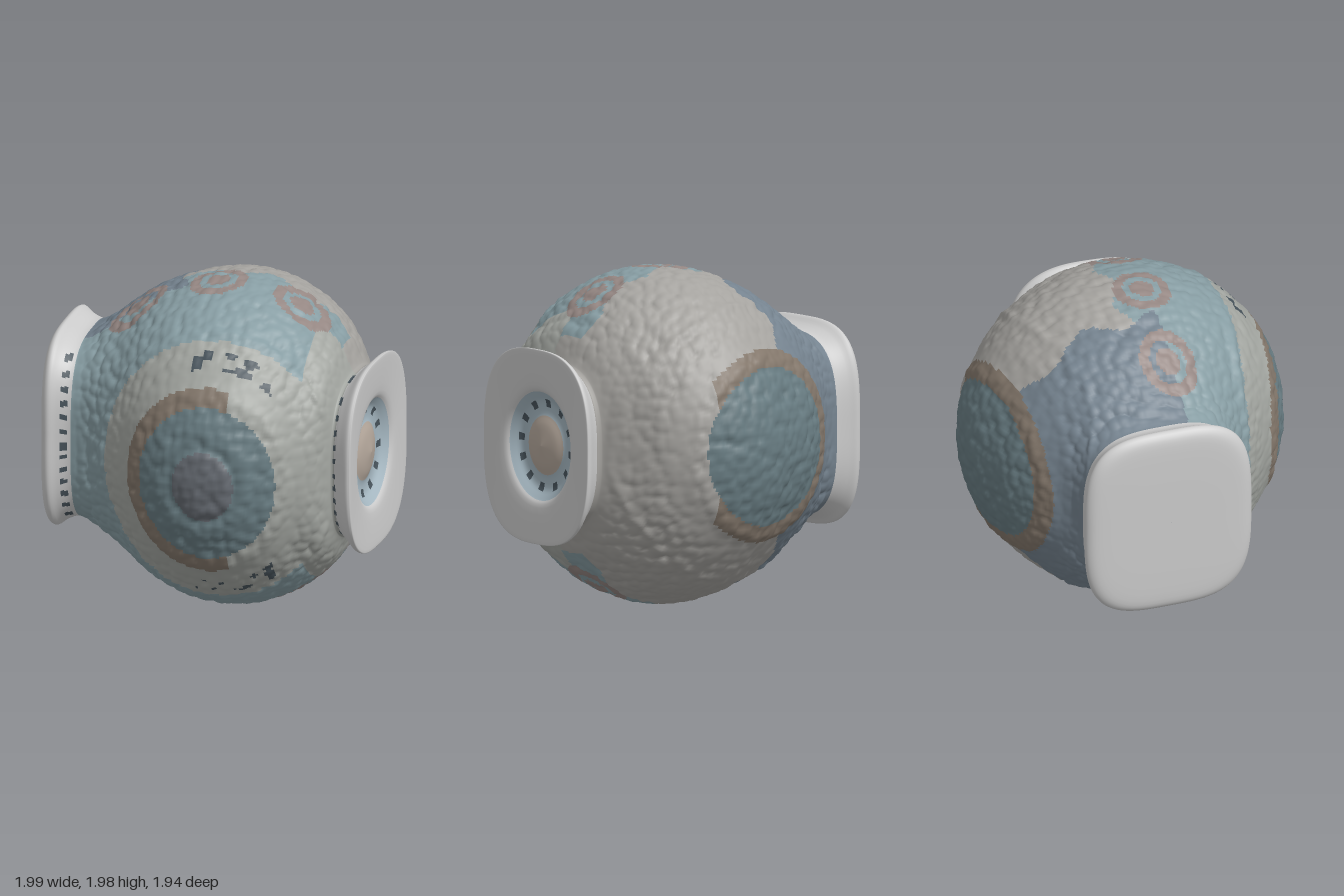
import * as THREE from 'three';

// Profile along the jar's axis: x, half height, half depth
const PROFILE = [
  [-0.99, 0.001, 0.001], [-0.99, 0.3, 0.25], [-0.985, 0.52, 0.43], [-0.965, 0.585, 0.49],
  [-0.93, 0.605, 0.51], [-0.88, 0.57, 0.49],
  [-0.8, 0.548, 0.475], // body starts here
  [-0.7, 0.6, 0.505], [-0.6, 0.68, 0.585], [-0.45, 0.8, 0.72], [-0.3, 0.885, 0.83], [-0.1, 0.955, 0.92],
  [0.1, 0.98, 0.96], [0.3, 0.955, 0.94], [0.5, 0.87, 0.845], [0.65, 0.755, 0.71], [0.75, 0.635, 0.565],
  [0.82, 0.49, 0.44], // body ends here
  [0.87, 0.5, 0.455], [0.93, 0.56, 0.495], [0.955, 0.57, 0.5], [0.965, 0.55, 0.48],
  [0.95, 0.36, 0.33], // mouth
  [0.92, 0.31, 0.285], [0.885, 0.26, 0.24], [0.88, 0.19, 0.18],
  [0.905, 0.12, 0.115], [0.925, 0.001, 0.001], // rosette inside
];
const BODY_START = 6, BODY_END = 17, MOUTH = 22, ROSETTE = 25;
const CY = 0.985, AROUND = 300;
const { smoothstep } = THREE.MathUtils;

// Both ends are offset in depth and squared off; the mouth end is also tilted
const depthOffset = (x) => 0.09 * smoothstep(x, 0.6, 0.85) - 0.07 * smoothstep(-x, 0.1, 0.6);
const squareness = (x, h) =>
  2 + 1.4 * smoothstep(-x, 0.45, 0.95) + 0.8 * smoothstep(x, 0.6, 0.9) * smoothstep(h, 0.3, 0.5);
const tilt = (x) => -0.07 * smoothstep(x, 0.7, 0.88);

const PARTS = {
  rimAndBase: 0xcccccc, bareBody: 0xa5a39f, blueGlaze: 0x879da3, slateGlaze: 0x75838f,
  medallion: 0x687c82, medallionRing: 0x83776b, creamBand: 0xa3a6a1, boss: 0x666b72,
  flowers: 0x958783, inkMarks: 0x48545c, mouthGlaze: 0xa6b8c2, mouthRosette: 0xb5a89c,
};

// Seeded hash for the pebble layout
const hash = (a, b, c, k) => {
  const s = Math.sin(a * 127.1 + b * 311.7 + c * 74.7 + k * 53.3) * 43758.5453;
  return s - Math.floor(s);
};

// Irregular pebbles: distance to the nearest jittered lattice point, plus its own random number
function pebble(x, y, z) {
  const S = 16, px = x * S, py = y * S, pz = z * S;
  const ix = Math.floor(px), iy = Math.floor(py), iz = Math.floor(pz);
  let best = 9, id = 0;
  for (let i = ix - 1; i <= ix + 1; i++)
    for (let j = iy - 1; j <= iy + 1; j++)
      for (let k = iz - 1; k <= iz + 1; k++) {
        const d = Math.hypot(i + 0.15 + 0.7 * hash(i, j, k, 1) - px,
          j + 0.15 + 0.7 * hash(i, j, k, 2) - py, k + 0.15 + 0.7 * hash(i, j, k, 3) - pz);
        if (d < best) { best = d; id = hash(i, j, k, 4); }
      }
  return { h: Math.sqrt(Math.max(0, 1 - best * best)), id };
}

// Front and back medallions differ in centre and width
const medallionRadius = (x, y, z) =>
  z > 0 ? Math.hypot((x - 0.13) / 0.88, y - CY) : Math.hypot((x + 0.02) / 1.05, y - CY);
const ridge = (r, at, width) => Math.exp(-(((r - at) / width) ** 2));

// Height of the moulded decoration on the body
function relief(x, y, z) {
  const r = medallionRadius(x, y, z);
  const plain = Math.max(ridge(r, 0.61, 0.07), 0.6 * smoothstep(x, 0.64, 0.72));
  let d = (pebble(x, y, z).h - 0.78) * 0.042 * (1 - 0.7 * plain);
  if (Math.abs(z) > 0.3) {
    d += 0.01 * ridge(r, 0.52, 0.04) + 0.01 * ridge(r, 0.8, 0.015);
    if (z > 0) d -= 0.014 * ridge(r, 0.23, 0.03);
  }
  return d;
}

// Which glaze covers a point
function regionOf(x, y, z, t) {
  if (t > ROSETTE) return 'mouthRosette';
  if (t > MOUTH + 0.5) {
    const dot = Math.sin(Math.atan2(y - CY, z - 0.1) * 12) > 0.5;
    return dot && t > MOUTH + 1.6 && t < MOUTH + 2.4 ? 'inkMarks' : 'mouthGlaze';
  }
  // Rows of dots round both necks
  const neckDots = (t > BODY_START - 0.9 && t < BODY_START - 0.3) || (t > BODY_END + 0.1 && t < BODY_END + 0.6);
  if (neckDots && z > 0.15 && Math.sin(y * 78) > 0.3) return 'inkMarks';
  if (t < BODY_START - 0.2 || t > BODY_END + 0.4) return 'rimAndBase';
  const r = medallionRadius(x, y, z), front = z > 0;
  if (Math.abs(z) > 0.3) {
    if (front && r < 0.21) return 'boss';
    if (r < 0.46) return 'medallion';
    if (r < 0.56 && x < (front ? 0.25 : 0.38)) return 'medallionRing';
    if (front && r > 0.65 && r < 0.74 && Math.abs(x - 0.24) < 0.24 && pebble(x, y, z).id > 0.62) return 'inkMarks';
    if (front && r < 0.78) return 'creamBand';
  }
  // Flowers along the top and underside
  if (Math.abs(y - CY) > 0.4)
    for (const fx of [-0.48, 0, 0.5]) {
      const q = Math.hypot(x - fx, z - 0.08);
      if (q < 0.07 || (q > 0.11 && q < 0.17)) return 'flowers';
    }
  if (z > 0.1) return x > 0.62 ? 'creamBand' : 'blueGlaze';
  if (x < -0.22 + 0.05 * Math.sin(z * 14)) return 'slateGlaze';
  return z > -0.08 + 0.04 * Math.sin(x * 17) && x < 0.75 ? 'blueGlaze' : 'bareBody';
}

export function createModel() {
  const group = new THREE.Group();
  group.name = 'jarOnItsSide';

  // Smooth curve through the profile, with finer steps on the decorated body
  const last = PROFILE.length - 1;
  const curve = new THREE.CatmullRomCurve3(PROFILE.map((p) => new THREE.Vector3(...p)), false, 'catmullrom', 0.45);
  const steps = [];
  for (let i = 0; i < last; i++) {
    const n = i >= BODY_START && i < BODY_END ? 14 : 4;
    for (let k = 0; k < n; k++) steps.push(i + k / n);
  }
  steps.push(last);

  // Rounded-square loops along the axis
  const base = [];
  for (const t of steps) {
    const { x, y: h, z: w } = curve.getPoint(t / last);
    const power = 2 / squareness(x, h);
    const bend = (v) => Math.sign(v) * Math.abs(v) ** power;
    for (let i = 0; i < AROUND; i++) {
      const ang = (i / AROUND) * Math.PI * 2, dz = w * bend(Math.sin(ang));
      base.push(x + tilt(x) * dz, CY + h * bend(Math.cos(ang)), depthOffset(x) + dz);
    }
  }
  const index = [];
  for (let j = 0; j < steps.length - 1; j++)
    for (let i = 0; i < AROUND; i++) {
      const n = (i + 1) % AROUND, p = j * AROUND, q = p + AROUND;
      index.push(p + i, p + n, q + i, p + n, q + n, q + i);
    }
  const skin = new THREE.BufferGeometry();
  skin.setAttribute('position', new THREE.Float32BufferAttribute(base, 3));
  skin.setIndex(index);
  skin.computeVertexNormals();

  // Raise the decoration along the normals, fading out at the necks
  const P = skin.attributes.position, N = skin.attributes.normal;
  for (let v = 0; v < P.count; v++) {
    const t = steps[Math.floor(v / AROUND)];
    const fade = Math.min(1, t - BODY_START, BODY_END - t);
    if (fade <= 0) continue;
    const x = P.getX(v), y = P.getY(v), z = P.getZ(v), d = relief(x, y, z) * fade;
    P.setXYZ(v, x + N.getX(v) * d, y + N.getY(v) * d, z + N.getZ(v) * d);
  }
  skin.computeVertexNormals();

  // Split the surface into one mesh per glaze
  const lists = Object.fromEntries(Object.keys(PARTS).map((k) => [k, []]));
  for (let f = 0; f < index.length; f += 6) {
    const v = index[f], t = steps[Math.floor(v / AROUND)];
    lists[regionOf(base[v * 3], base[v * 3 + 1], base[v * 3 + 2], t)].push(...index.slice(f, f + 6));
  }
  for (const [name, list] of Object.entries(lists)) {
    const geo = new THREE.BufferGeometry();
    geo.setAttribute('position', P);
    geo.setAttribute('normal', N);
    geo.setIndex(list);
    const mesh = new THREE.Mesh(geo, new THREE.MeshStandardMaterial({ color: PARTS[name] }));
    mesh.name = name;
    group.add(mesh);
  }
  return group;
}
